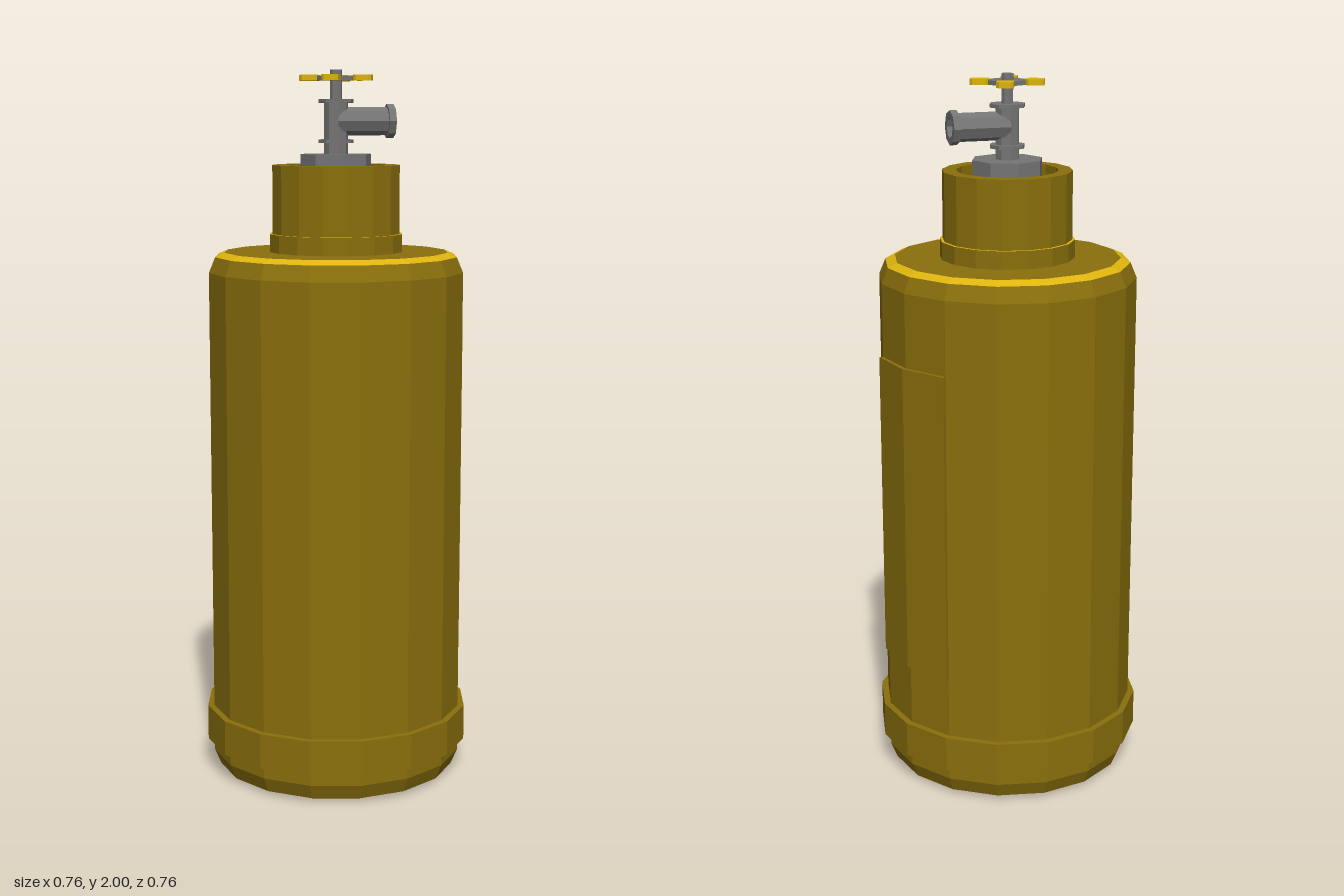
import * as THREE from 'three';

const material = (name, color) => {
  const m = new THREE.MeshStandardMaterial({ color });
  m.name = name;
  return m;
};

export function createModel() {
  const model = new THREE.Group();
  model.name = 'gasCylinder';
  const gold = material('darkGold', 0x8a6f0c);
  const yellow = material('brightYellow', 0xdeb40d);
  const grey = material('metalGrey', 0x757575);

  // Adds a mesh with faceted normals
  const add = (name, geometry, mat, parent = model) => {
    const g = geometry.index ? geometry.toNonIndexed() : geometry;
    g.computeVertexNormals();
    const mesh = new THREE.Mesh(g, mat);
    mesh.name = name;
    parent.add(mesh);
    return mesh;
  };
  // Turned part; profile of [radius, height] listed upwards on the outside
  const turn = (profile, sides) =>
    new THREE.LatheGeometry(profile.map(([r, y]) => new THREE.Vector2(r, y)), sides);
  const disc = (r, y0, y1, sides) =>
    turn([[0, y0], [r, y0], [r, y1], [0, y1]], sides);

  // Tank with bevelled ends and a bright top bevel
  add('tank', turn([[0, 0], [0.315, 0], [0.342, 0.012], [0.36, 0.055],
    [0.36, 1.445], [0.342, 1.488]], 16), gold);
  add('topBevel', turn([[0.342, 1.488], [0.315, 1.5]], 16), yellow);
  add('tankTop', turn([[0.315, 1.5], [0, 1.5]], 16), gold);
  add('baseBand', turn([[0.355, 0.09], [0.378, 0.09], [0.378, 0.19], [0.355, 0.19]], 16), gold);

  // Curved plate over two facets of the tank's left side
  const plate = new THREE.Shape();
  const corner = (r, i) => [r * Math.cos(i * Math.PI / 8), r * Math.sin(i * Math.PI / 8)];
  plate.moveTo(...corner(0.35, 0));
  for (let i = 0; i <= 2; i++) plate.lineTo(...corner(0.371, i));
  for (let i = 2; i >= 1; i--) plate.lineTo(...corner(0.35, i));
  plate.closePath();
  const plateGeometry = new THREE.ExtrudeGeometry(plate, { depth: 0.875, bevelEnabled: false });
  plateGeometry.rotateX(-Math.PI / 2).translate(0, 0.365, 0);
  add('sidePlate', plateGeometry, gold);

  // Neck ring and hollow collar
  add('neckRing', turn([[0.188, 1.5], [0.188, 1.55]], 16), gold);
  add('neckRingTop', turn([[0.188, 1.55], [0.175, 1.55]], 16), yellow);
  add('collar', turn([[0.18, 1.5], [0.18, 1.74], [0.141, 1.74], [0.141, 1.7]], 16), gold);
  add('collarFloor', turn([[0.141, 1.7], [0, 1.7]], 16), yellow);

  // Valve
  const valve = new THREE.Group();
  valve.name = 'valve';
  model.add(valve);
  add('valveNut', disc(0.1, 1.7, 1.77, 8), grey, valve);
  add('valveBody', disc(0.034, 1.77, 1.915, 8), grey, valve);
  add('lowerFlange', disc(0.05, 1.8, 1.81, 8), grey, valve);
  add('upperFlange', disc(0.05, 1.91, 1.92, 8), grey, valve);
  add('spindle', disc(0.017, 1.92, 2, 8), grey, valve);

  // Side outlet with flanged, recessed mouth
  const outlet = add('outlet', turn([[0, 0], [0.039, 0], [0.039, 0.143], [0.047, 0.143],
    [0.047, 0.163], [0.028, 0.163], [0.028, 0.143], [0, 0.143]], 8), grey, valve);
  outlet.rotation.z = -Math.PI / 2;
  outlet.position.y = 1.86;

  // Four-armed handwheel
  const wheel = new THREE.Group();
  wheel.name = 'handwheel';
  wheel.position.y = 1.978;
  valve.add(wheel);
  add('handwheelHub', disc(0.054, -0.007, 0.005, 8), grey, wheel);
  const w = 0.023, c = 0.008;
  const tip = new THREE.Shape([[0.05, -w + c], [0.05 + c, -w], [0.101 - c, -w], [0.101, -w + c],
    [0.101, w - c], [0.101 - c, w], [0.05 + c, w], [0.05, w - c]]
    .map(([x, y]) => new THREE.Vector2(x, y)));
  for (let i = 0; i < 4; i++) {
    const g = new THREE.ExtrudeGeometry(tip, { depth: 0.016, bevelEnabled: false });
    g.rotateX(-Math.PI / 2).translate(0, -0.008, 0);
    add('handwheelTip', g, yellow, wheel).rotation.y = -0.38 + i * Math.PI / 2;
  }
  return model;
}
